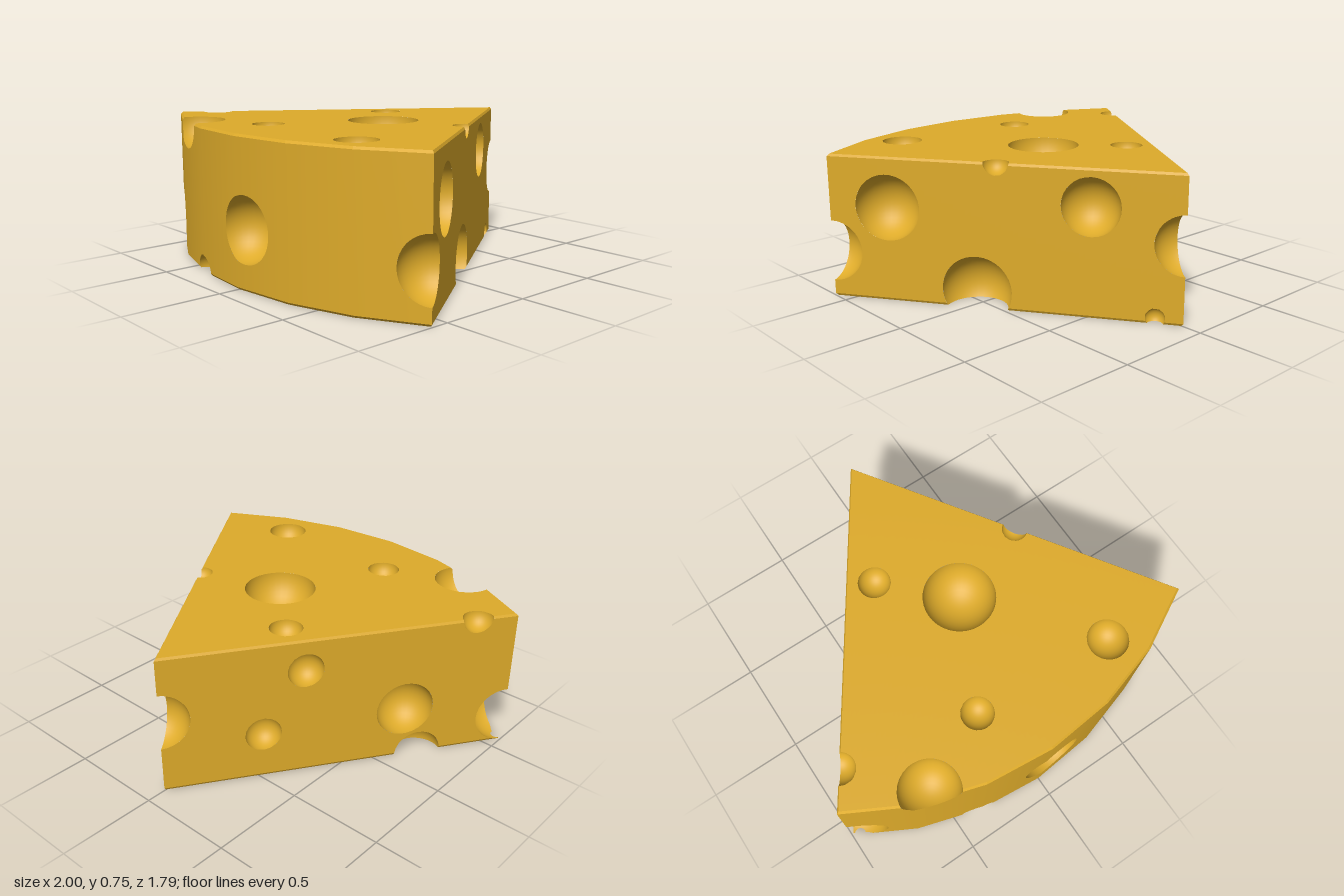
import * as THREE from 'three';

const V = (x, y, z) => new THREE.Vector3(x, y, z);
const HEIGHT = 0.75, RADIUS = 1.795, TIP = -0.8975, HALF_ANGLE = 0.591, ARC_STEPS = 6;
const BEVEL = 0.012, CELL = 0.03;

// Round holes: x, y, z, radius
const HOLES = [
  // top
  [-0.246, 0.75, -0.278, 0.083], [0.064, 0.75, 0.021, 0.183], [0.505, 0.75, -0.128, 0.065],
  [-0.882, 0.75, 0.422, 0.08], [-0.198, 0.75, 0.561, 0.083], [-0.59, 0.75, 0.743, 0.153],
  [0.54, 0.75, 0.61, 0.104],
  // curved front and its corners
  [0.062, 0.3, 0.89, 0.167], [-0.37, 0, 0.85, 0.09], [-0.96, 0.157, 0.61, 0.16], [1, 0.245, 0.59, 0.16],
  // left face (+x)
  [0.829, 0.49, 0.335, 0.17], [0.254, 0.56, -0.522, 0.147], [0.573, 0.09, -0.046, 0.18],
  [0.077, 0.03, -0.785, 0.05],
  // tip
  [0, 0.4, -0.9, 0.152],
  // right face (-x)
  [-0.4, 0.583, -0.304, 0.091], [-0.282, 0.25, -0.48, 0.092], [-0.689, 0.279, 0.127, 0.15],
  [-0.735, 0, 0.195, 0.124],
  // underside
  [0.202, 0, -0.12, 0.104], [0.469, 0, 0.594, 0.085],
].map(([x, y, z, r]) => ({ c: V(x, y, z), r }));

const outsideOf = (hole) => (p) => p.distanceTo(hole.c) - hole.r;

// Keep the part of a polygon where f >= 0
function clip(poly, f) {
  const d = poly.map(f);
  if (d.every((v) => v >= 0)) return poly;
  const out = [];
  poly.forEach((p, i) => {
    const j = (i + 1) % poly.length;
    if (d[i] >= 0) out.push(p);
    if ((d[i] >= 0) !== (d[j] >= 0)) out.push(p.clone().lerp(poly[j], d[i] / (d[i] - d[j])));
  });
  return out;
}

// Collects clipped triangles with normals given by a rule
class Surface {
  constructor() { this.pos = []; this.nor = []; }
  add(poly, tests, normalAt) {
    for (const f of tests) {
      poly = clip(poly, f);
      if (poly.length < 3) return;
    }
    for (let i = 1; i < poly.length - 1; i++) {
      for (const p of [poly[0], poly[i], poly[i + 1]]) {
        this.pos.push(p.x, p.y, p.z);
        this.nor.push(...normalAt(p).toArray());
      }
    }
  }
  mesh(name, material) {
    const g = new THREE.BufferGeometry();
    g.setAttribute('position', new THREE.Float32BufferAttribute(this.pos, 3));
    g.setAttribute('normal', new THREE.Float32BufferAttribute(this.nor, 3));
    const m = new THREE.Mesh(g, material);
    m.name = name;
    return m;
  }
}

// Flat panel a-b-c-d, divided into cells and cut by the holes; returns its plane
function addPanel(surface, a, b, c, d, normalRule) {
  const n = c.clone().sub(a).cross(d.clone().sub(b)).normalize();
  const plane = new THREE.Plane().setFromNormalAndCoplanarPoint(n, c);
  const nu = Math.ceil(Math.max(a.distanceTo(b), c.distanceTo(d)) / CELL);
  const nv = Math.ceil(b.distanceTo(c) / CELL);
  const at = (i, j) => a.clone().lerp(b, i / nu).lerp(d.clone().lerp(c, i / nu), j / nv);
  const tests = HOLES.filter((h) => Math.abs(plane.distanceToPoint(h.c)) < h.r).map(outsideOf);
  const normalAt = normalRule || (() => n);
  for (let i = 0; i < nu; i++) {
    for (let j = 0; j < nv; j++) {
      const [p, q, r, s] = [at(i, j), at(i + 1, j), at(i + 1, j + 1), at(i, j + 1)];
      surface.add([p, q, r], tests, normalAt);
      surface.add([p, r, s], tests, normalAt);
    }
  }
  return plane;
}

export function createModel() {
  const group = new THREE.Group();
  group.name = 'cheeseWedge';
  const material = new THREE.MeshStandardMaterial({ color: 0xdeab2a });

  // Wedge outline: the arc from right to left, then the tip
  const outline = [];
  for (let i = 0; i <= ARC_STEPS; i++) {
    const t = HALF_ANGLE * (2 * i / ARC_STEPS - 1);
    outline.push(V(RADIUS * Math.sin(t), 0, TIP + RADIUS * Math.cos(t)));
  }
  outline.push(V(0, 0, TIP));

  // Stacked outlines give narrow bevels at the top and bottom
  const ring = (y, s) => outline.map((p) => V(p.x * s, y, 0.1 + (p.z - 0.1) * s));
  const rings = [ring(0, 1 - BEVEL), ring(BEVEL, 1), ring(HEIGHT - BEVEL, 1), ring(HEIGHT, 1 - BEVEL)];

  // Walls and bevels; the curved front is shaded smooth
  const body = new Surface(), planes = [];
  const radial = (p) => V(p.x, 0, p.z - TIP).normalize();
  for (let k = 0; k < 3; k++) {
    const lo = rings[k], hi = rings[k + 1];
    for (let i = 0; i < lo.length; i++) {
      const j = (i + 1) % lo.length;
      const rule = k === 1 && i < ARC_STEPS ? radial : null;
      planes.push(addPanel(body, lo[i], lo[j], hi[j], hi[i], rule));
    }
  }

  // Top and bottom as fans from the tip
  const bottom = rings[0], top = rings[3], tip = ARC_STEPS + 1;
  for (let i = 0; i < ARC_STEPS; i++) {
    planes.push(addPanel(body, top[tip], top[tip], top[i], top[i + 1]));
    planes.push(addPanel(body, bottom[tip], bottom[tip], bottom[i + 1], bottom[i]));
  }
  group.add(body.mesh('wedgeBody', material));

  // Hollow bowls: inward-facing spheres trimmed to the wedge
  const insideWedge = planes.map((pl) => (p) => -pl.distanceToPoint(p));
  HOLES.forEach((hole, index) => {
    const bowl = new Surface();
    const near = HOLES.filter((h) => h !== hole && h.c.distanceTo(hole.c) < h.r + hole.r);
    const tests = [...insideWedge, ...near.map(outsideOf)];
    const ball = new THREE.SphereGeometry(hole.r, 36, 22).toNonIndexed().getAttribute('position');
    const at = (i) => V().fromBufferAttribute(ball, i).add(hole.c);
    const inward = (p) => hole.c.clone().sub(p).normalize();
    for (let i = 0; i < ball.count; i += 3) bowl.add([at(i), at(i + 2), at(i + 1)], tests, inward);
    group.add(bowl.mesh('hole' + (index + 1), material));
  });
  return group;
}
